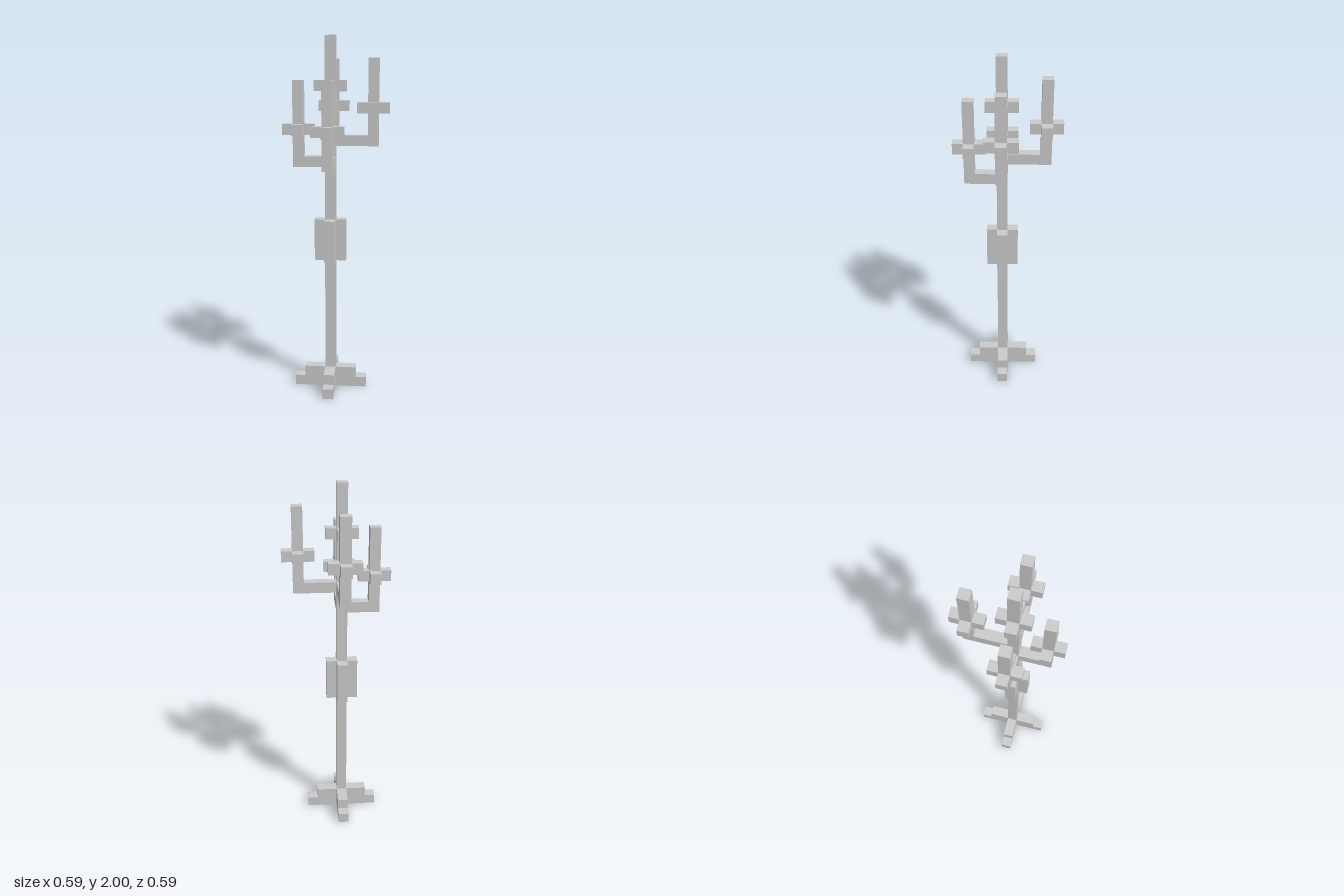
import * as THREE from 'three';

const U = 2 / 34; // one grid cell; the whole lamp is 34 cells tall
const material = new THREE.MeshStandardMaterial({ color: 0xcccccc, flatShading: true });
const DIRECTIONS = [[1, 0, 'Left'], [-1, 0, 'Right'], [0, 1, 'Front'], [0, -1, 'Back']];

// Box on the cell grid: x and z are centres, y0 to y1 its bottom and top
function block(name, x, z, y0, y1, width = 1, depth = 1) {
  const mesh = new THREE.Mesh(new THREE.BoxGeometry(width * U, (y1 - y0) * U, depth * U), material);
  mesh.position.set(x * U, ((y0 + y1) / 2) * U, z * U);
  mesh.name = name;
  return mesh;
}

// Bar running outwards from cell "from" to cell "to" in one direction
function bar(name, [dx, dz], from, to, y0, y1) {
  const mid = (from + to) / 2;
  const length = to - from + 1;
  return block(name, dx * mid, dz * mid, y0, y1, dx ? length : 1, dz ? length : 1);
}

// Four blocks around a post, forming a plus seen from above
function collar(name, x, z, y0, y1) {
  const group = new THREE.Group();
  group.name = name;
  for (const [dx, dz, side] of DIRECTIONS) {
    group.add(block(name + side, x + dx, z + dz, y0, y1));
  }
  return group;
}

export function createModel() {
  const model = new THREE.Group();
  model.name = 'candelabra';

  // The post stands half a cell off the centre of the bounding box
  const body = new THREE.Group();
  body.name = 'body';
  body.position.set(-U / 2, 0, U / 2);
  model.add(body);

  // Central post with its grip and candle collar
  body.add(block('post', 0, 0, 0, 34));
  body.add(collar('grip', 0, 0, 13, 17));
  body.add(collar('postCollar', 0, 0, 29, 30));

  for (const direction of DIRECTIONS) {
    const [dx, dz, side] = direction;

    // Stepped foot
    const foot = new THREE.Group();
    foot.name = 'foot' + side;
    foot.add(bar('footStep', direction, 1, 2, 0, 2));
    foot.add(bar('footToe', direction, 3, 3, 0, 1));
    body.add(foot);

    // Arms: the left and back ones are longer and sit higher
    const high = side === 'Left' || side === 'Back';
    const reach = high ? 4 : 3;
    const base = high ? 24 : 22;
    const collarY = high ? 27 : 25;
    const arm = new THREE.Group();
    arm.name = 'arm' + side;
    arm.add(bar('armBranch', direction, 1, reach - 1, base, base + 1));
    arm.add(block('armCandle', dx * reach, dz * reach, base, base + 8));
    arm.add(collar('armCollar', dx * reach, dz * reach, collarY, collarY + 1));
    body.add(arm);
  }
  return model;
}
